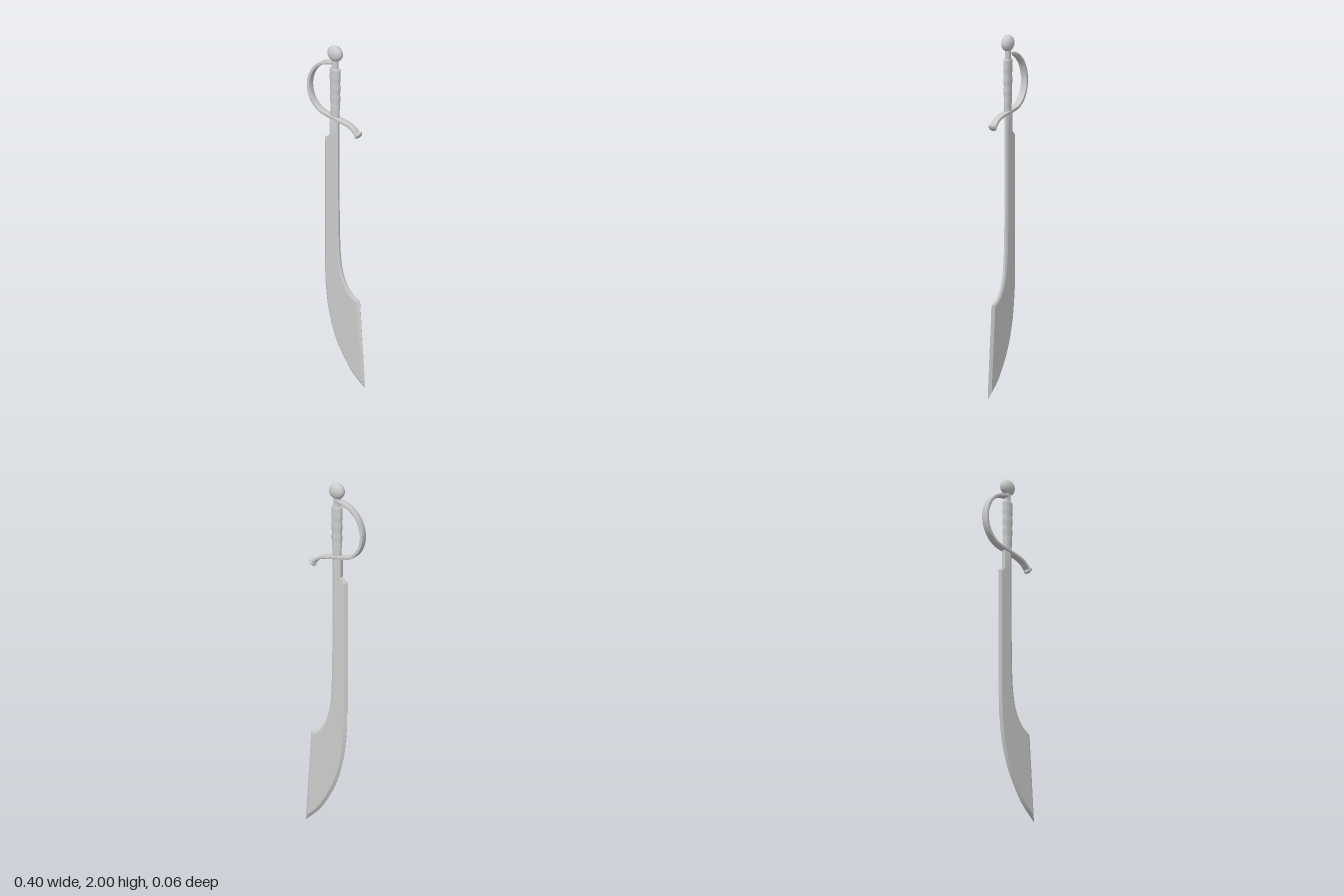
import * as THREE from 'three';
import { toCreasedNormals } from 'three/addons/utils/BufferGeometryUtils.js';

const material = new THREE.MeshStandardMaterial({ color: 0xcccccc });
const V = (x, y) => new THREE.Vector2(x, y);
const spline = pts => new THREE.SplineCurve(pts.map(p => V(...p)));

function add(group, name, geometry, x = 0, y = 0) {
  const mesh = new THREE.Mesh(geometry, material);
  mesh.name = name;
  mesh.position.set(x, y, 0);
  group.add(mesh);
  return mesh;
}

// Bevelled plate: outer rim at half thickness rim, inset face at half thickness t.
// The cutting side runs down, the spine side runs up, with equal point counts.
function bladeGeometry() {
  const t = 0.012, steps = 40;
  const outline = [];
  const put = (points, bevel, rim) => points.forEach(p => outline.push({ p, bevel, rim }));
  // Tang, notch, cutting edge and point
  put([V(-0.045, 1.57), V(-0.045, 1.46)], 0.003, 0.01);
  put([V(-0.083, 1.435)], 0.014, 0.003);
  put(spline([[-0.083, 1.4], [-0.083, 1.0], [-0.082, 0.65], [-0.077, 0.545], [-0.056, 0.4],
    [-0.013, 0.265], [0.045, 0.16], [0.1, 0.085], [0.15, 0.04]]).getSpacedPoints(steps), 0.014, 0.001);
  put([V(0.199, 0)], 0.016, 0);
  // Flared corner and spine
  put([V(0.162, 0.515)], 0.02, 0.001);
  put(spline([[0.14, 0.523], [0.105, 0.545], [0.062, 0.6], [0.034, 0.68], [0.02, 0.8],
    [0.015, 1.0], [0.013, 1.2], [0.013, 1.4]]).getSpacedPoints(steps), 0.013, 0.006);
  put([V(0.013, 1.435), V(0.013, 1.46), V(0.013, 1.57)], 0.013, 0.006);

  const n = outline.length;
  const pos = [], index = [];
  outline.forEach(({ p, bevel, rim }, i) => {
    const before = outline[(i + n - 1) % n].p, after = outline[(i + 1) % n].p;
    const d1 = p.clone().sub(before).normalize(), d2 = after.clone().sub(p).normalize();
    const n1 = V(-d1.y, d1.x), n2 = V(-d2.y, d2.x);
    const miter = n1.clone().add(n2).normalize();
    const q = p.clone().addScaledVector(miter, bevel / Math.max(miter.dot(n1), 0.35));
    pos.push(q.x, q.y, t, p.x, p.y, rim, p.x, p.y, -rim, q.x, q.y, -t);
    const a = 4 * i, b = 4 * ((i + 1) % n);
    for (let k = 0; k < 3; k++) {
      index.push(a + k, a + k + 1, b + k, b + k, a + k + 1, b + k + 1);
    }
  });
  // Flat cheeks: quads from the cutting side across to the spine side
  for (let i = 0; i < n / 2 - 1; i++) {
    const a = 4 * i, b = a + 4, d = 4 * (n - 1 - i), c = d - 4;
    index.push(a, b, c, a, c, d, a + 3, c + 3, b + 3, a + 3, d + 3, c + 3);
  }
  const g = new THREE.BufferGeometry();
  g.setAttribute('position', new THREE.Float32BufferAttribute(pos, 3));
  g.setIndex(index);
  return toCreasedNormals(g, 0.4);
}

// Curved ribbon of constant thickness, extruded across z with rounded corners
function guardGeometry() {
  const bevel = 0.004, half = 0.0055, depth = 0.03;
  const curve = spline([[-0.028, 1.896], [-0.065, 1.889], [-0.115, 1.866],
    [-0.165, 1.813], [-0.19, 1.73], [-0.169, 1.645], [-0.105, 1.588], [0, 1.568],
    [0.075, 1.555], [0.115, 1.538], [0.147, 1.508]]);
  const left = [], right = [];
  for (let i = 0; i <= 64; i++) {
    const p = curve.getPoint(i / 64), d = curve.getTangent(i / 64);
    left.push(V(p.x - d.y * half, p.y + d.x * half));
    right.push(V(p.x + d.y * half, p.y - d.x * half));
  }
  const g = new THREE.ExtrudeGeometry(new THREE.Shape([...right, ...left.reverse()]), {
    depth, bevelEnabled: true, bevelSize: bevel, bevelThickness: bevel, bevelSegments: 2,
  });
  g.translate(0, 0, -depth / 2);
  return toCreasedNormals(g, 0.6);
}

export function createModel() {
  const group = new THREE.Group();
  group.name = 'sabre';

  add(group, 'blade', bladeGeometry());
  add(group, 'handGuard', guardGeometry());

  // Grip with shallow finger swells
  const profile = [[0, 1.565], [0.028, 1.565], [0.029, 1.61], [0.031, 1.648], [0.029, 1.656],
    [0.033, 1.672], [0.033, 1.7], [0.03, 1.715], [0.034, 1.732], [0.034, 1.765],
    [0.031, 1.78], [0.034, 1.795], [0.035, 1.825], [0.033, 1.838], [0.035, 1.85],
    [0.034, 1.862], [0.03, 1.868], [0, 1.868]].map(p => V(...p));
  const grip = new THREE.LatheGeometry(profile, 32);
  grip.scale(1, 1, 0.58);
  add(group, 'grip', toCreasedNormals(grip, 0.7), -0.013);

  const neck = new THREE.CylinderGeometry(0.02, 0.02, 0.07, 24);
  neck.scale(1, 1, 0.75);
  add(group, 'neck', neck, -0.013, 1.895);

  const pommel = new THREE.SphereGeometry(1, 32, 24);
  pommel.scale(0.049, 0.046, 0.031);
  add(group, 'pommel', pommel, -0.013, 1.954);

  // Button closing the free end of the guard
  const button = new THREE.SphereGeometry(1, 24, 16);
  button.scale(0.013, 0.025, 0.024);
  add(group, 'guardButton', button, 0.151, 1.509).rotation.z = -0.65;

  return group;
}
